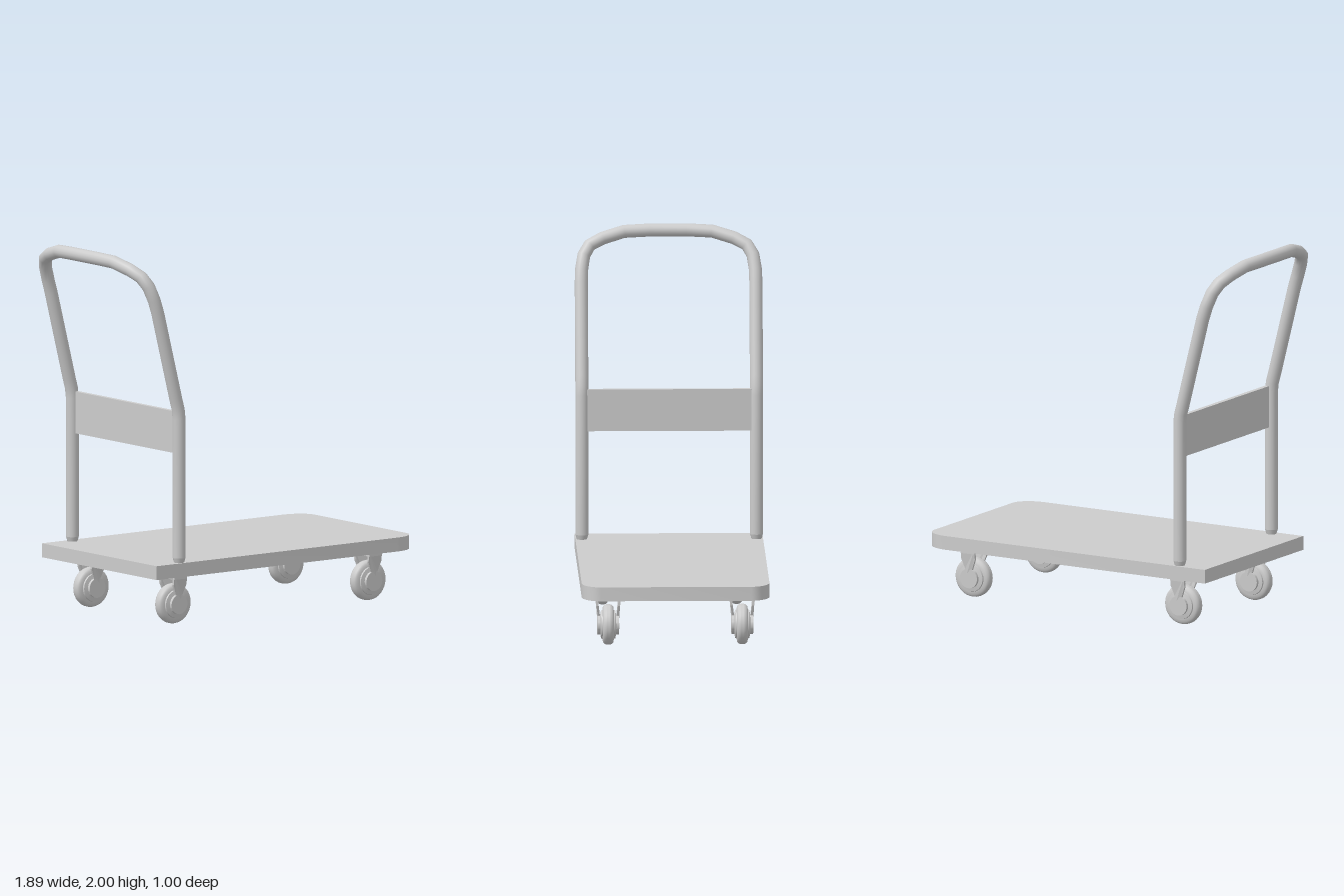
import * as THREE from 'three';
import { toCreasedNormals } from 'three/addons/utils/BufferGeometryUtils.js';

const material = new THREE.MeshStandardMaterial({ color: 0xcccccc, roughness: 0.6 });

function part(name, geometry, parent) {
  const mesh = new THREE.Mesh(geometry, material);
  mesh.name = name;
  parent.add(mesh);
  return mesh;
}

// Curve that puts one tube ring on each given point, with averaged tangents
class BentPath extends THREE.Curve {
  constructor(points) {
    super();
    this.points = points;
  }
  getPointAt(u, target = new THREE.Vector3()) {
    return target.copy(this.points[Math.round(u * (this.points.length - 1))]);
  }
  getTangentAt(u, target = new THREE.Vector3()) {
    const p = this.points, i = Math.round(u * (p.length - 1));
    const a = p[Math.max(i - 1, 0)], b = p[i], c = p[Math.min(i + 1, p.length - 1)];
    const before = b.clone().sub(a).normalize(), after = c.clone().sub(b).normalize();
    return target.copy(before.add(after).normalize());
  }
}

// Flat deck with two rounded corners at the leading end
function deckGeometry() {
  const s = new THREE.Shape();
  s.moveTo(-0.81, -0.5);
  s.lineTo(0.81, -0.5);
  s.absellipse(0.81, -0.4, 0.135, 0.1, -Math.PI / 2, 0, false, 0);
  s.lineTo(0.945, 0.4);
  s.absellipse(0.81, 0.4, 0.135, 0.1, 0, Math.PI / 2, false, 0);
  s.lineTo(-0.81, 0.5);
  s.closePath();
  const g = new THREE.ExtrudeGeometry(s, { depth: 0.075, bevelEnabled: false, curveSegments: 5 });
  return toCreasedNormals(g.rotateX(-Math.PI / 2).translate(0, 0.27, 0), 0.6);
}

// Push handle: half the path, mirrored across z
function handleGeometry() {
  const half = [
    [-0.632, 0.37, 0.465], [-0.632, 1.12, 0.465], [-0.638, 1.17, 0.465],
    [-0.652, 1.22, 0.465], [-0.775, 1.7, 0.465], [-0.797, 1.77, 0.463],
    [-0.825, 1.845, 0.45], [-0.85, 1.895, 0.418], [-0.872, 1.928, 0.35],
    [-0.897, 1.96, 0.235], [-0.91, 1.965, 0.1]
  ].map(p => new THREE.Vector3(...p));
  const other = half.map(p => new THREE.Vector3(p.x, p.y, -p.z)).reverse();
  const points = [...half, ...other];
  return new THREE.TubeGeometry(new BentPath(points), points.length - 1, 0.035, 16);
}

// Wheel profile, [radius, half width], turned around z
function wheelGeometry() {
  const side = [
    [0, 0.058], [0.053, 0.058], [0.053, 0.042], [0.075, 0.038],
    [0.077, 0.03], [0.094, 0.028], [0.104, 0.02], [0.108, 0.008]
  ];
  const profile = [
    ...side.map(([r, w]) => new THREE.Vector2(r, -w)),
    ...side.map(([r, w]) => new THREE.Vector2(r, w)).reverse()
  ];
  return toCreasedNormals(new THREE.LatheGeometry(profile, 32).rotateX(Math.PI / 2), 0.6);
}

// Fork leg, leaning inwards towards the hub
function forkLegGeometry(sign) {
  const s = new THREE.Shape();
  s.moveTo(-0.043, 0.27);
  s.lineTo(-0.043, 0.215);
  s.lineTo(-0.022, 0.16);
  s.lineTo(-0.02, 0.11);
  s.lineTo(0.02, 0.11);
  s.lineTo(0.022, 0.16);
  s.lineTo(0.043, 0.215);
  s.lineTo(0.043, 0.27);
  const g = new THREE.ExtrudeGeometry(s, { depth: 0.012, bevelEnabled: false });
  const p = g.attributes.position;
  for (let i = 0; i < p.count; i++) {
    const outer = 0.056 + 0.014 * Math.max(0, (p.getY(i) - 0.16) / 0.11);
    p.setZ(i, sign * outer + p.getZ(i) - (sign > 0 ? 0.012 : 0));
  }
  g.computeVertexNormals();
  return g;
}

function caster(x, z) {
  const group = new THREE.Group();
  group.name = 'caster';
  group.position.set(x, 0, z);
  part('wheel', wheelGeometry(), group).position.y = 0.108;
  part('forkCrown', new THREE.BoxGeometry(0.086, 0.025, 0.138), group).position.y = 0.2575;
  for (const sign of [-1, 1]) part('forkLeg', forkLegGeometry(sign), group);
  return group;
}

export function createModel() {
  const model = new THREE.Group();
  model.name = 'platformTrolley';

  part('deck', deckGeometry(), model);
  part('pushHandle', handleGeometry(), model);

  // Tapered feet of the handle
  for (const z of [-0.465, 0.465]) {
    part('handleFoot', new THREE.CylinderGeometry(0.035, 0.026, 0.03, 16), model)
      .position.set(-0.632, 0.356, z);
  }

  // Cross panel between the uprights
  part('crossPanel', new THREE.BoxGeometry(0.025, 0.225, 0.88), model)
    .position.set(-0.625, 1.042, 0);

  for (const x of [-0.59, 0.72]) {
    for (const z of [-0.357, 0.357]) model.add(caster(x, z));
  }
  return model;
}
